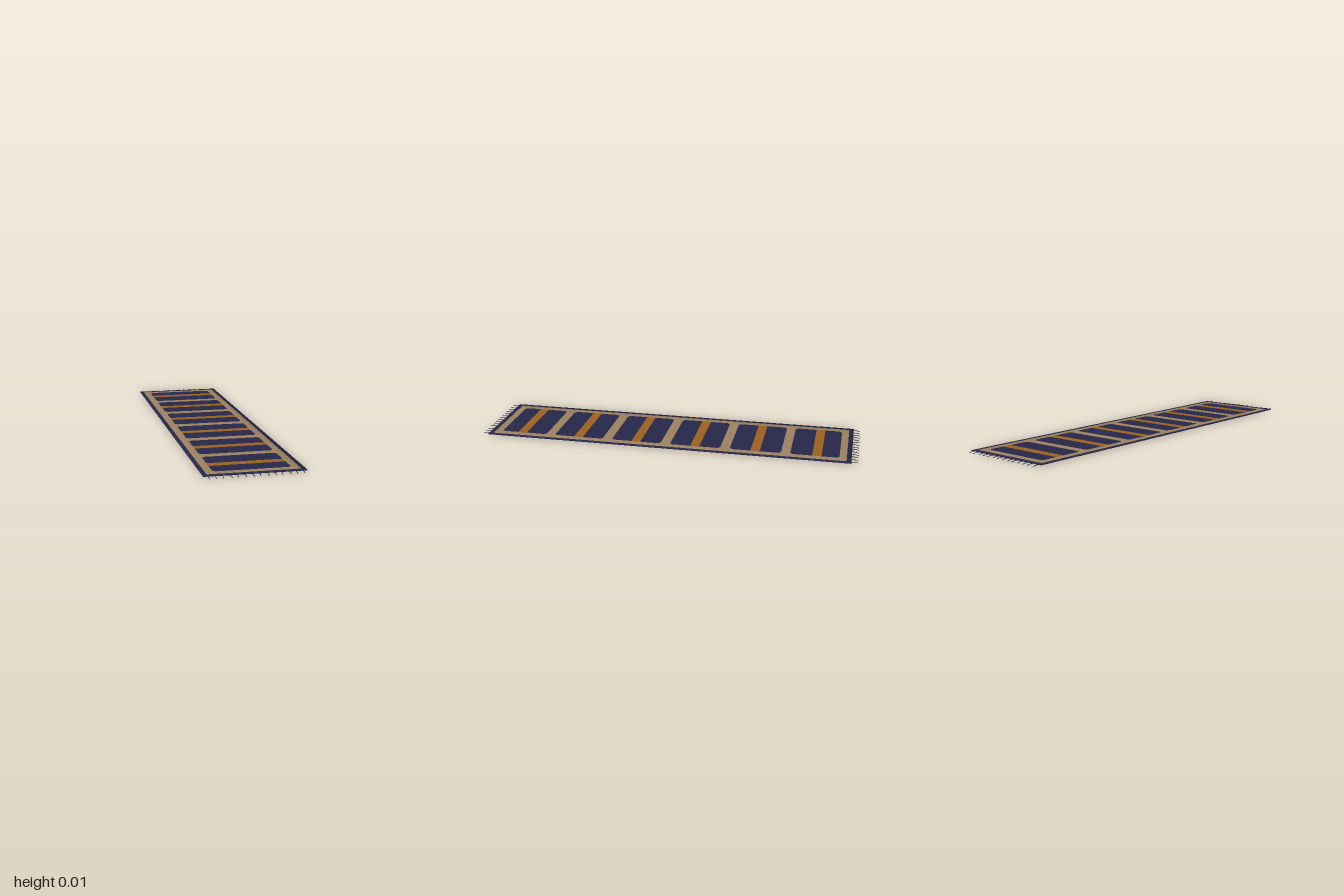
import * as THREE from 'three';
import { mergeGeometries } from 'three/addons/utils/BufferGeometryUtils.js';

const HALF_W = 0.24, HALF_L = 0.966;

const mat = (name, color) => {
  const m = new THREE.MeshStandardMaterial({ color });
  m.name = name;
  return m;
};

// Roll the normals outwards near the rug's edge, like a soft woven hem
function softenEdges(geo) {
  const p = geo.attributes.position, n = geo.attributes.normal, v = new THREE.Vector3();
  const tilt = (c, half) => Math.sign(c) * Math.max(0, 1 - (half - Math.abs(c)) / 0.045);
  for (let i = 0; i < p.count; i++) {
    const side = p.getY(i) > 0.0055 ? 1 : -1;
    v.set(tilt(p.getX(i), HALF_W), side, tilt(p.getZ(i), HALF_L)).normalize();
    n.setXYZ(i, v.x, v.y, v.z);
  }
  return geo;
}

// Flat panel with cut corners, facing up
function panel(width, length, cut, y, z) {
  const a = width / 2, b = length / 2;
  const s = new THREE.Shape([
    [-a + cut, -b], [a - cut, -b], [a, -b + cut], [a, b - cut],
    [a - cut, b], [-a + cut, b], [-a, b - cut], [-a, -b + cut],
  ].map(([x, q]) => new THREE.Vector2(x, q)));
  return new THREE.ShapeGeometry(s).rotateX(-Math.PI / 2).translate(0, y, z);
}

export function createModel() {
  const group = new THREE.Group();
  const navy = mat('navy wool', 0x262648);
  const tan = mat('tan wool', 0x9a8060);
  const amber = mat('amber wool', 0x9c6020);
  const dark = mat('dark fringe', 0x17172a);

  const add = (name, geo, material) => {
    const mesh = new THREE.Mesh(geo, material);
    mesh.name = name;
    group.add(mesh);
  };

  // Woven base
  const base = new THREE.BoxGeometry(HALF_W * 2, 0.003, HALF_L * 2, 24, 1, 96);
  add('rugBase', softenEdges(base.translate(0, 0.0055, 0)), navy);

  // Tan field, leaving a navy border
  const field = new THREE.PlaneGeometry(0.44, 1.884, 24, 96).rotateX(-Math.PI / 2);
  add('tanField', softenEdges(field.translate(0, 0.0073, 0)), tan);

  // Six panels, each crossed by a stripe; the end panels are a little shorter
  for (let i = 0; i < 6; i++) {
    const z = (i - 2.5) * 0.3165;
    const end = i === 0 || i === 5;
    const centre = end ? Math.sign(z) * 0.78 : z;
    add('panel', panel(0.366, end ? 0.25 : 0.266, 0.013, 0.0077, centre), navy);
    const stripe = new THREE.PlaneGeometry(0.366, 0.048).rotateX(-Math.PI / 2);
    add('stripe', stripe.translate(0, 0.0081, z), amber);
  }

  // Fringe strands drooping to the floor at both ends
  for (const end of [1, -1]) {
    const strands = [];
    for (let i = 0; i < 14; i++) {
      const x = (i - 6.5) * 0.0338;
      const drift = 0.004 * Math.sin(i * 2.3 + end);
      const curve = new THREE.CatmullRomCurve3([
        new THREE.Vector3(x, 0.0055, end * 0.96),
        new THREE.Vector3(x + drift * 0.4, 0.0045, end * 0.982),
        new THREE.Vector3(x + drift, 0.0015, end * 1.0),
      ]);
      strands.push(new THREE.TubeGeometry(curve, 6, 0.0015, 5));
    }
    add(end > 0 ? 'frontFringe' : 'backFringe', mergeGeometries(strands), dark);
  }

  return group;
}
